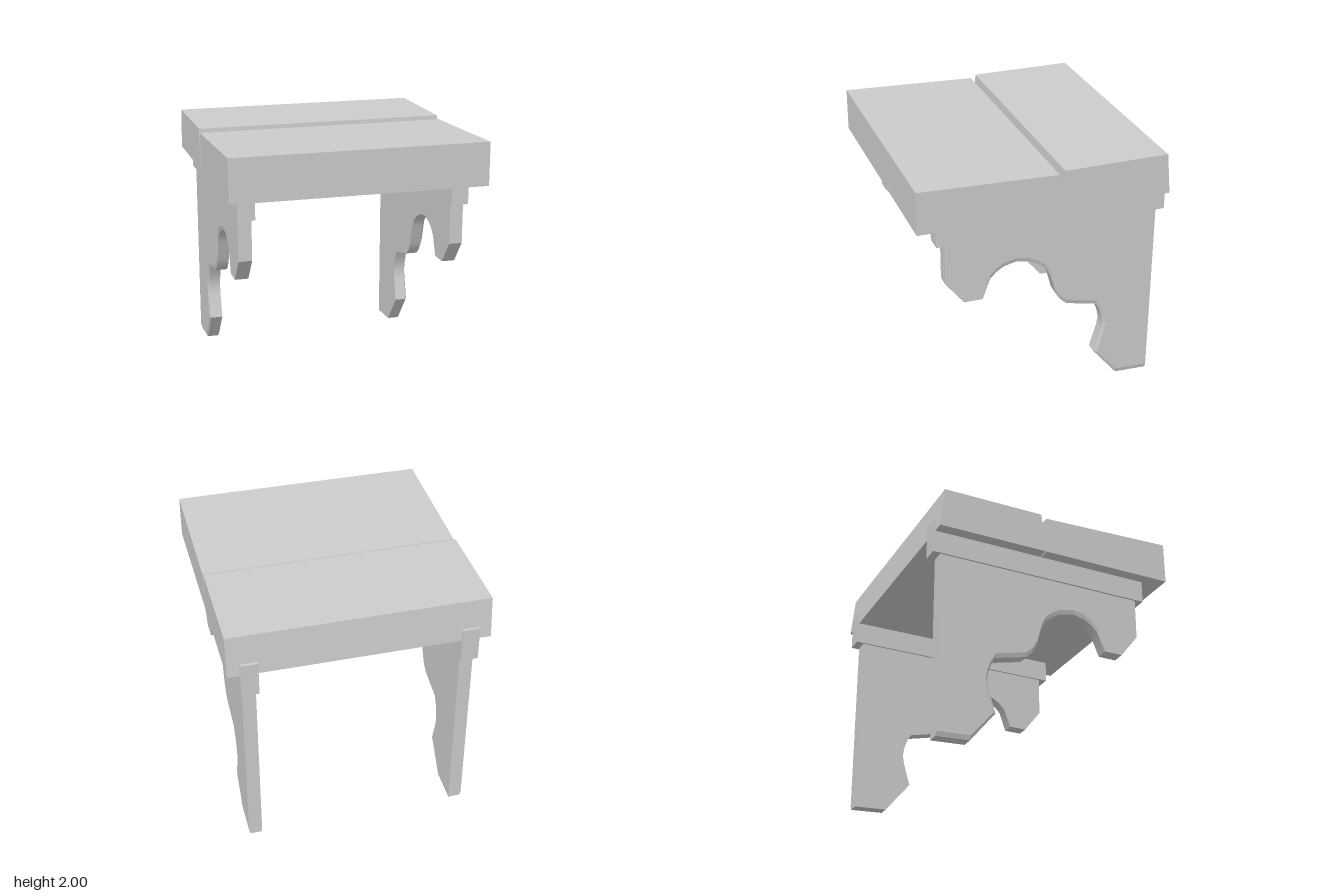
import * as THREE from 'three';
import { toCreasedNormals } from 'three/addons/utils/BufferGeometryUtils.js';

const material = new THREE.MeshStandardMaterial({ color: 0xcccccc });

// Extrude a side profile given as [z, y] points, centred on x
function extrudeProfile(points, width, steps = 1) {
  const shape = new THREE.Shape(points.map(([z, y]) => new THREE.Vector2(-z, y)));
  const geo = new THREE.ExtrudeGeometry(shape, { depth: width, steps, bevelEnabled: false });
  return geo.translate(0, 0, -width / 2).rotateY(Math.PI / 2);
}

function addMesh(parent, name, geo, x = 0, y = 0, z = 0) {
  const mesh = new THREE.Mesh(geo, material);
  mesh.name = name;
  mesh.position.set(x, y, z);
  parent.add(mesh);
}

// Scrolled bracket outline, from the front hook round to the wall side
const bracketProfile = [
  [0.765, 1.52], [0.765, 1.15], [0.62, 0.963], [0.472, 0.963], [0.41, 1.12],
  [0.36, 1.17], [0.3, 1.207], [0.2, 1.23], [0.09, 1.207], [0.02, 1.17],
  [-0.04, 1.125], [-0.08, 1.05], [-0.125, 0.89], [-0.165, 0.82], [-0.22, 0.772],
  [-0.47, 0.712], [-0.5, 0.66], [-0.525, 0.59], [-0.537, 0.52], [-0.525, 0.45],
  [-0.47, 0.263], [-0.67, 0.018], [-0.937, 0.005], [-0.937, 1.52],
];

function bracketGeometry(side) {
  const width = 0.105;
  const geo = toCreasedNormals(extrudeProfile(bracketProfile, width, 10), 0.6);
  const pos = geo.attributes.position;
  const isOuter = (i) => pos.getX(i) * side > width / 2 - 0.002;
  // Chamfer the outer rim of the cut-outs and foot
  for (let i = 0; i < pos.count; i++) {
    const y = pos.getY(i), z = pos.getZ(i);
    if (!isOuter(i) || y > 1.45 || z > 0.45) continue;
    if (y > 0.2 && y < 0.7) pos.setZ(i, z - 0.02);
    else pos.setY(i, y + 0.035);
  }
  // Keep the chamfer flat while the curved edges stay smooth
  const flat = geo.clone();
  flat.computeVertexNormals();
  for (let t = 0; t < pos.count; t += 3) {
    if (![t, t + 1, t + 2].some(isOuter)) continue;
    for (let i = t; i < t + 3; i++) {
      const n = flat.attributes.normal;
      geo.attributes.normal.setXYZ(i, n.getX(i), n.getY(i), n.getZ(i));
    }
  }
  return geo;
}

export function createModel() {
  const model = new THREE.Group();
  model.name = 'bracketShelf';

  // Two thick boards with a narrow gap between them
  const frontBoard = [[1, 1.66], [0.997, 2], [-0.087, 1.96], [-0.09, 1.66]];
  const backBoard = [[-0.097, 1.66], [-0.13, 1.985], [-0.955, 1.985], [-0.988, 1.66]];
  addMesh(model, 'frontBoard', extrudeProfile(frontBoard, 2));
  addMesh(model, 'backBoard', extrudeProfile(backBoard, 2));

  // Support rail and scrolled bracket on each side
  for (const side of [1, -1]) {
    const support = new THREE.Group();
    support.name = side > 0 ? 'leftSupport' : 'rightSupport';
    addMesh(support, 'rail', new THREE.BoxGeometry(0.135, 0.275, 1.83), side * 0.838, 1.6175, -0.085);
    addMesh(support, 'bracket', bracketGeometry(side), side * 0.838);
    model.add(support);
  }
  return model;
}
